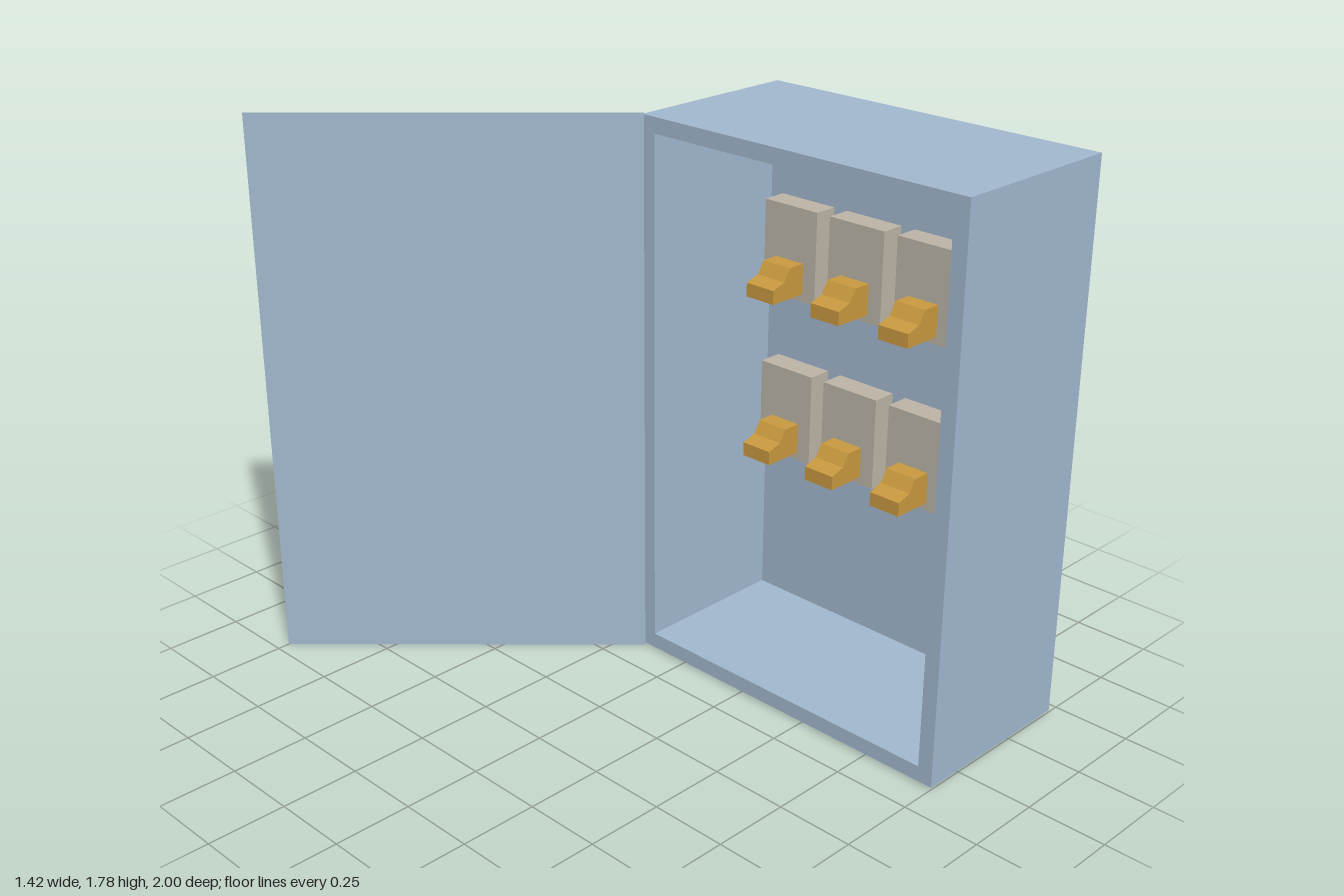
import * as THREE from 'three';

const mat = (name, color, extra = {}) => {
  const m = new THREE.MeshStandardMaterial({ color, ...extra });
  m.name = name;
  return m;
};

export function createModel() {
  const group = new THREE.Group();
  const steel = mat('blue grey steel', 0xa2b8ce);
  const steelSheet = mat('blue grey sheet', 0xa2b8ce, { side: THREE.DoubleSide });
  const casing = mat('warm grey casing', 0xbcb5a6);
  const brass = mat('brass', 0xc8993f);

  const add = (name, geo, material, x, y, z, parent = group) => {
    const m = new THREE.Mesh(geo, material);
    m.name = name;
    m.position.set(x, y, z);
    parent.add(m);
    return m;
  };

  // Cabinet shell: frame outline with an opening towards -x
  const x0 = 0.12, x1 = 0.71, xIn = 0.64, z0 = -0.18, z1 = 1, y0 = 0.007, y1 = 1.775, t = 0.05;
  const rect = (C, a, b, c, d) => new C([[a, b], [c, b], [c, d], [a, d]].map(p => new THREE.Vector2(...p)));
  const outline = rect(THREE.Shape, z0, y0, z1, y1);
  outline.holes.push(rect(THREE.Path, z0 + t, y0 + t, z1 - t, y1 - t));
  const frame = new THREE.ExtrudeGeometry(outline, { depth: xIn - x0, bevelEnabled: false });
  frame.rotateY(-Math.PI / 2); // shape x becomes z, depth runs along -x
  add('cabinetFrame', frame, steel, xIn, 0, 0);
  add('cabinetBackPanel', new THREE.BoxGeometry(x1 - xIn, y1 - y0, z1 - z0), steel,
    (x1 + xIn) / 2, (y0 + y1) / 2, (z0 + z1) / 2);

  // Thin door swung open from the hinge edge
  const hinge = new THREE.Vector2(0.118, -0.172), tip = new THREE.Vector2(-0.71, -1);
  const door = add('door', new THREE.PlaneGeometry(hinge.distanceTo(tip), 1.78), steelSheet,
    (hinge.x + tip.x) / 2, 0.89, (hinge.y + tip.y) / 2);
  door.rotation.y = Math.atan2(-(hinge.y - tip.y), hinge.x - tip.x);

  // Stepped brass lever profile, reaching out from the casing
  const lever = new THREE.Shape([
    [0, 0], [0.135, 0], [0.135, 0.045], [0.085, 0.06], [0.06, 0.10], [0, 0.10],
  ].map(p => new THREE.Vector2(...p)));
  const leverGeo = new THREE.ExtrudeGeometry(lever, { depth: 0.11, bevelEnabled: false });
  leverGeo.translate(0, 0, -0.055).rotateY(Math.PI);
  const caseGeo = new THREE.BoxGeometry(0.08, 0.3, 0.21);

  // Two rows of four switch units on the back panel
  for (const top of [1.445, 0.905]) {
    for (let i = 0; i < 4; i++) {
      const unit = new THREE.Group();
      unit.name = 'switchUnit';
      unit.position.set(xIn, top, 0.802 - i * 0.26);
      add('unitCasing', caseGeo, casing, -0.04, -0.15, 0, unit);
      add('unitLever', leverGeo, brass, -0.08, -0.275, 0, unit);
      group.add(unit);
    }
  }
  return group;
}
